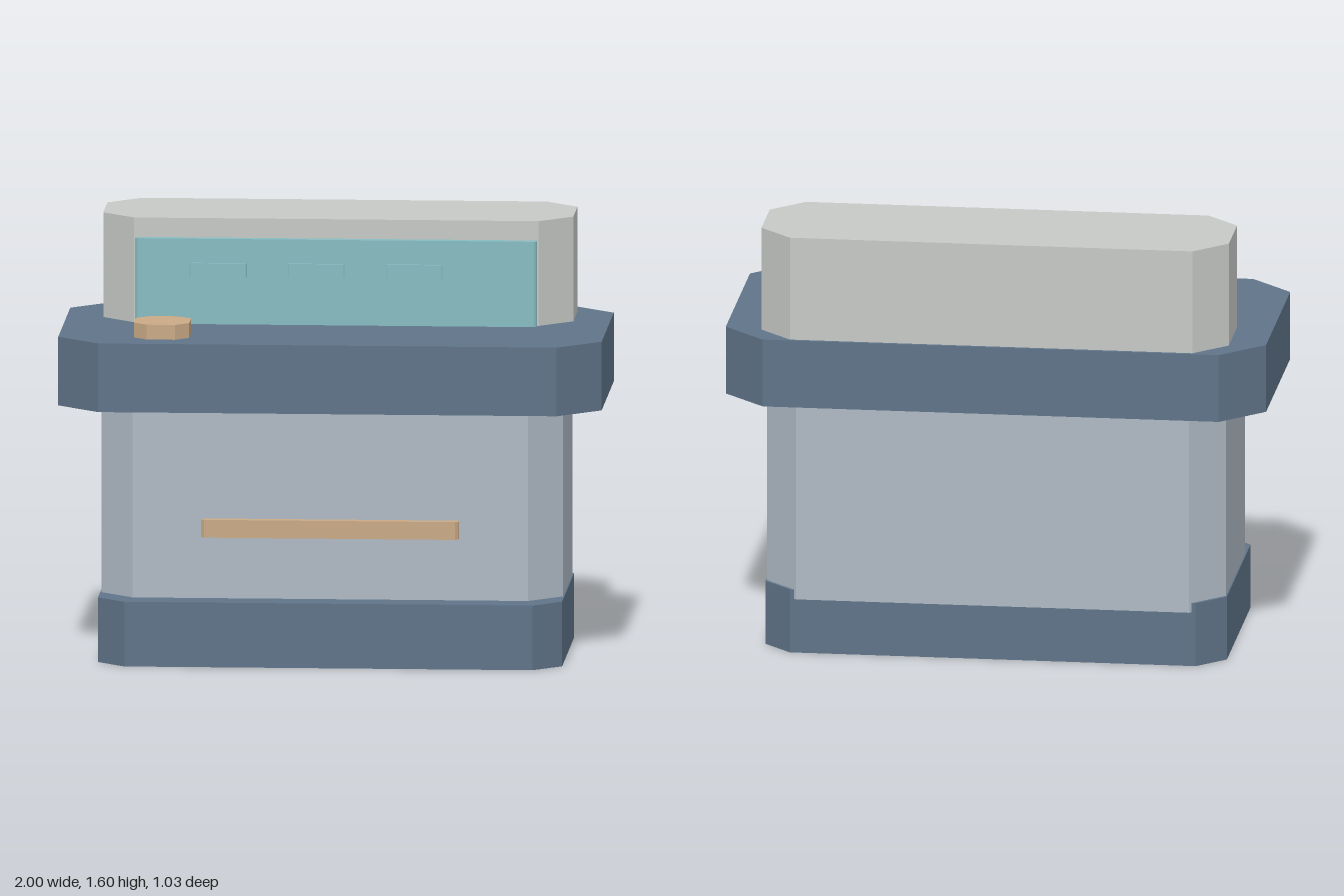
import * as THREE from 'three';

const paint = (name, color) => {
  const m = new THREE.MeshStandardMaterial({ color });
  m.name = name;
  return m;
};

// Upright block with its four vertical corners cut at 45 degrees
function chamferedBlock(name, material, [x0, x1], [y0, y1], [z0, z1], c) {
  const w = (x1 - x0) / 2, d = (z1 - z0) / 2;
  const shape = new THREE.Shape([
    [w, -d + c], [w, d - c], [w - c, d], [-w + c, d],
    [-w, d - c], [-w, -d + c], [-w + c, -d], [w - c, -d],
  ].map(([x, y]) => new THREE.Vector2(x, y)));
  const geo = new THREE.ExtrudeGeometry(shape, { depth: y1 - y0, bevelEnabled: false });
  geo.rotateX(-Math.PI / 2);
  const mesh = new THREE.Mesh(geo, material);
  mesh.name = name;
  mesh.position.set((x0 + x1) / 2, y0, (z0 + z1) / 2);
  return mesh;
}

export function createModel() {
  const slate = paint('slate blue', 0x5f7489);
  const paleBlue = paint('pale blue grey', 0xafbac5);
  const grey = paint('light grey', 0xc7c9c7);
  const teal = paint('teal', 0x87bdc2);
  const tan = paint('tan', 0xcaaa86);

  const model = new THREE.Group();
  model.name = 'counter';
  model.add(
    // Cabinet and worktop
    chamferedBlock('base', slate, [-0.854, 0.854], [0, 0.24], [-0.455, 0.455], 0.103),
    chamferedBlock('body', paleBlue, [-0.849, 0.849], [0.205, 0.96], [-0.462, 0.343], 0.121),
    chamferedBlock('worktop', slate, [-1, 1], [0.953, 1.208], [-0.515, 0.515], 0.156),
    chamferedBlock('frontHandle', tan, [-0.474, 0.474], [0.47, 0.536], [0.335, 0.38], 0.012),
    // Raised rear housing with its front panel
    chamferedBlock('rearHousing', grey, [-0.865, 0.865], [1.19, 1.597], [-0.502, -0.017], 0.12),
    chamferedBlock('displayPanel', teal, [-0.739, 0.739], [1.19, 1.525], [-0.022, 0.016], 0.009),
    // Knob on the worktop
    chamferedBlock('knob', tan, [-0.722, -0.518], [1.2, 1.263], [0.193, 0.407], 0.05),
  );

  // Raised strips on the panel
  for (const x of [-0.433, -0.072, 0.289]) {
    model.add(chamferedBlock('panelStrip', teal, [x - 0.104, x + 0.104], [1.386, 1.436], [0.008, 0.027], 0.003));
  }
  return model;
}
